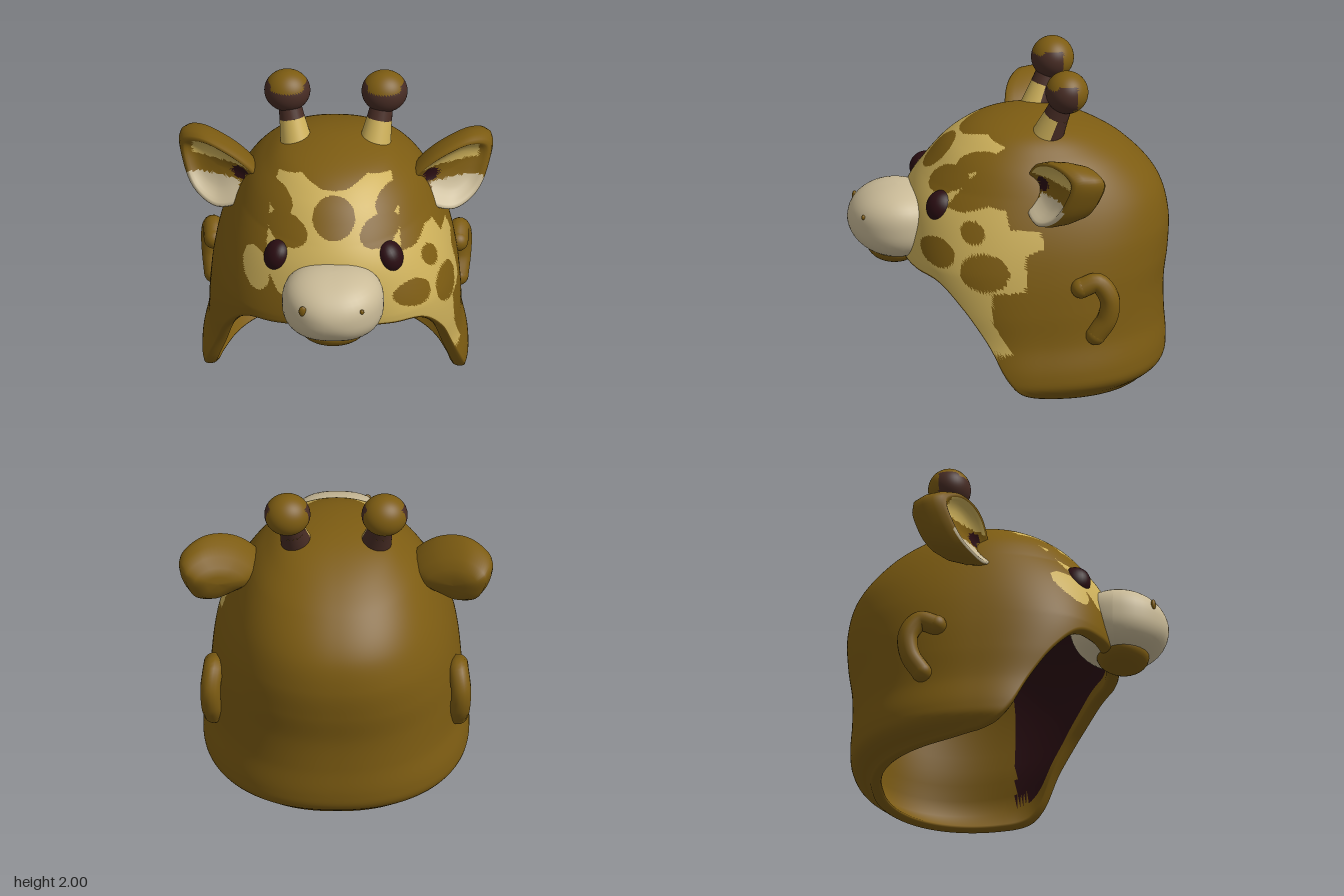
import * as THREE from 'three';

const mat = (name, color) => {
  const m = new THREE.MeshStandardMaterial({ color });
  m.name = name;
  return m;
};

// Smooth one-dimensional interpolation through a short table
function curve(xs, ys) {
  const slope = i => {
    const a = Math.max(0, i - 1), b = Math.min(xs.length - 1, i + 1);
    return (ys[b] - ys[a]) / (xs[b] - xs[a]);
  };
  return x => {
    let i = 0;
    while (i < xs.length - 2 && x > xs[i + 1]) i++;
    const h = xs[i + 1] - xs[i], t = Math.min(1, Math.max(0, (x - xs[i]) / h)), u = 1 - t;
    return ys[i] * (1 + 2 * t) * u * u + slope(i) * h * t * u * u
      + ys[i + 1] * t * t * (3 - 2 * t) - slope(i + 1) * h * t * t * u;
  };
}

// Skin closed loops of points; pick(centre, row) gives each triangle's material index
function loft(name, rows, mats, pick) {
  const n = rows[0].length, lists = mats.map(() => []), c = new THREE.Vector3(), pts = rows.flat();
  const tri = (r, ...ids) => {
    c.set(0, 0, 0);
    ids.forEach(i => c.addScaledVector(pts[i], 1 / 3));
    lists[pick(c, r)].push(...ids);
  };
  for (let r = 0; r < rows.length - 1; r++) {
    for (let k = 0; k < n; k++) {
      const a = r * n + k, b = r * n + (k + 1) % n;
      tri(r, a, a + n, b + n);
      tri(r, a, b + n, b);
    }
  }
  const g = new THREE.BufferGeometry().setFromPoints(pts);
  g.setIndex(lists.flat());
  let start = 0;
  lists.forEach((l, i) => { g.addGroup(start, l.length, i); start += l.length; });
  g.computeVertexNormals();
  const mesh = new THREE.Mesh(g, mats);
  mesh.name = name;
  return mesh;
}

const inPoly = (px, py, poly) => {
  let inside = false;
  poly.forEach(([x1, y1], i) => {
    const [x2, y2] = poly[(i + 1) % poly.length];
    if ((y1 > py) !== (y2 > py) && px < (x2 - x1) * (py - y1) / (y2 - y1) + x1) inside = !inside;
  });
  return inside;
};
const inSpot = (u, v, [cu, cv, ru, rv]) => ((u - cu) / ru) ** 2 + ((v - cv) / rv) ** 2 < 1;

// Coat pattern: pale areas and the brown spots on them
const FACE = [[-0.1, 1.54], [0.08, 1.55], [0.2, 1.585], [0.34, 1.55], [0.39, 1.44], [0.4, 1.3], [0.42, 1.15], [0.33, 1.0], [-0.1, 0.98]];
const CHEEK = [[0.75, 1.25], [0.35, 1.2], [0.2, 1.25], [0.1, 1.24], [0.08, 1.13], [-0.1, 1.12], [-0.12, 1.02], [-0.01, 0.98],
  [0, 0.76], [0.2, 0.74], [0.2, 0.56], [0.08, 0.36], [0.3, 0.34], [0.75, 0.8]];
const FACE_SPOTS = [[0, 1.43, 0.13, 0.1], [0.28, 1.345, 0.12, 0.08], [0.33, 1.46, 0.08, 0.06]];
const CHEEK_SPOTS = [[0.24, 0.87, 0.145, 0.115], [0.5, 0.955, 0.09, 0.085], [0.3, 1.1, 0.07, 0.065]];
function isPale({ x, y, z }) {
  const ax = Math.abs(x);
  if (z > 0 && inPoly(ax, y, FACE)) return !FACE_SPOTS.some(s => inSpot(ax, y, s));
  if (x > 0.1 && inPoly(z, y, CHEEK)) return !CHEEK_SPOTS.some(s => inSpot(z, y, s));
  return x < 0 && z > 0 && inSpot(x, y, [-0.47, 1.09, 0.08, 0.11]);
}

// Hollow head: half width, front depth and back depth by height; rim height by angle from the front
const TOP = 1.645, ZC = -0.12;
const depthKey = [1.645, 1.6, 1.5, 1.4, 1.2, 1.0, 0.8, 0.6, 0.4, 0.2, 0.1, 0].map(y => Math.sqrt(TOP - y));
const width = curve(depthKey, [0, 0.29, 0.435, 0.525, 0.63, 0.7, 0.74, 0.76, 0.77, 0.805, 0.785, 0.64]);
const front = curve(depthKey, [0, 0.3, 0.48, 0.58, 0.72, 0.77, 0.78, 0.74, 0.66, 0.6, 0.57, 0.5]);
const back = curve(depthKey, [0, 0.27, 0.49, 0.63, 0.8, 0.855, 0.85, 0.825, 0.825, 0.835, 0.81, 0.68]);
const rim = curve([0, 0.4, 0.735, 0.98, 1.135, 1.26, 1.43, 1.85, Math.PI], [0.82, 0.81, 0.78, 0.62, 0.42, 0.22, 0.11, 0.05, 0.025]);

function makeHead(brown, pale, dark) {
  const N = 240, OUT = 130, LIP = 6, INN = 24, rows = [];
  const point = (a, t, inner) => {
    const yr = rim(Math.abs(a)), y = yr + (TOP - yr) * (1 - t ** 1.6);
    const s = Math.sqrt(Math.max(0, TOP - y)), k = inner ? 0.9 : 1, ca = Math.cos(a), sa = Math.sin(a);
    // the section grows squarer towards the jaw
    const square = Math.min(1, Math.max(0, (1.3 - y) / 0.45)), e = 2 / (2 + (ca > 0 ? 0.6 * square : 0.25));
    const yy = inner ? yr + (y - yr) * (1.56 - yr) / (TOP - yr) : y;
    return new THREE.Vector3(k * width(s) * Math.sign(sa) * Math.abs(sa) ** e, yy,
      ZC + k * (ca > 0 ? front(s) : back(s)) * Math.sign(ca) * Math.abs(ca) ** e);
  };
  const ring = f => rows.push(Array.from({ length: N }, (_, i) => f((i / N) * 2 * Math.PI - Math.PI)));
  for (let i = 0; i <= OUT; i++) ring(a => point(a, i / OUT, false));
  for (let i = 1; i < LIP; i++) {
    ring(a => {
      const p = point(a, 1, false).lerp(point(a, 1, true), (1 - Math.cos(i / LIP * Math.PI)) / 2);
      p.y -= 0.025 * Math.sin(i / LIP * Math.PI);
      return p;
    });
  }
  for (let i = INN; i >= 0; i--) ring(a => point(a, i / INN, true));
  return loft('head', rows, [brown, pale, dark], (c, r) => {
    if (r < OUT) return isPale(c) ? 1 : 0;
    return r > OUT + LIP && c.z > -0.05 && c.y > 0.25 ? 2 : 0;
  });
}

// Cupped ear: the outline is scaled through back, rim and hollow
function makeEar(side, mats) {
  const outline = new THREE.CatmullRomCurve3([[0.44, 1.38], [0.6, 1.54], [0.82, 1.605], [0.945, 1.54], [0.93, 1.38],
    [0.86, 1.24], [0.73, 1.175], [0.58, 1.22], [0.46, 1.3]].map(p => new THREE.Vector3(p[0], p[1], 0)), true).getPoints(80).slice(0, -1);
  const steps = [[0, -0.26], [0.3, -0.255], [0.6, -0.23], [0.83, -0.165], [0.96, -0.075], [1, 0], [0.97, 0.045], [0.91, 0.055],
    [0.85, 0.045], [0.78, 0.025], [0.7, 0.005], [0.6, -0.015], [0.5, -0.027], [0.38, -0.037], [0.25, -0.043], [0.12, -0.047], [0, -0.048]];
  const rows = steps.map(([k, dz]) => {
    const loop = outline.map(p => {
      const x = 0.71 + (p.x - 0.71) * k, y = 1.4 + (p.y - 1.4) * k;
      return new THREE.Vector3(side * x, y, -0.14 - 0.4 * (x - 0.7) - 1.2 * (x - 0.7) ** 2 - 0.15 * (y - 1.4) + dz);
    });
    return side < 0 ? loop.reverse() : loop;
  });
  return loft(side > 0 ? 'leftEar' : 'rightEar', rows, mats, (c, r) => {
    const x = Math.abs(c.x);
    if (r < 6) return 0;
    if (inSpot(x, c.y, [0.58, 1.395, 0.045, 0.045])) return 3;
    if (x > 0.58 && x < 0.9 && c.y < 1.345) return 2;
    return r > 7 && x < 0.87 && c.y > 1.45 ? 1 : 0;
  });
}

export function createModel() {
  const model = new THREE.Group();
  model.name = 'giraffeMask';
  const brown = mat('brown', 0x7d5c12), pale = mat('paleYellow', 0xcdb05a), cream = mat('cream', 0xcabb98);
  const horn = mat('darkBrown', 0x472c24), dark = mat('maroon', 0x2a0d12);

  const add = (name, geo, material, parent = model) => {
    const m = new THREE.Mesh(geo, material);
    m.name = name;
    parent.add(m);
    return m;
  };
  const ellipsoid = (name, material, p, r) => {
    const m = add(name, new THREE.SphereGeometry(1, 28, 20), material);
    m.position.set(...p);
    m.scale.set(...r);
    return m;
  };

  model.add(makeHead(brown, pale, dark));

  // Muzzle: round from above, a rounded rectangle from the front
  const E = 2.6, R = [0.31, 0.215, 0.3], C = [0, 1.005, 0.68];
  const flat = (x, y) => (Math.abs(x) ** E + Math.abs(y) ** E) ** (2 / E);
  const muzzle = new THREE.SphereGeometry(1, 40, 28), pos = muzzle.attributes.position;
  for (let i = 0; i < pos.count; i++) {
    const v = [pos.getX(i), pos.getY(i), pos.getZ(i)];
    const k = 1 / Math.sqrt(flat(v[0], v[1]) + v[2] ** 2);
    pos.setXYZ(i, ...v.map((q, j) => C[j] + q * k * R[j]));
  }
  muzzle.computeVertexNormals();
  add('muzzle', muzzle, cream);
  ellipsoid('lowerLip', brown, [0, 0.83, 0.7], [0.2, 0.095, 0.16]);

  for (const s of [1, -1]) {
    // Nostril and eye
    const nz = C[2] + R[2] * Math.sqrt(1 - flat(0.18 / R[0], 0.075 / R[1]));
    ellipsoid('nostril', brown, [s * 0.18, 1.08, nz], s > 0 ? [0.014, 0.016, 0.012] : [0.024, 0.035, 0.015]);
    const eye = ellipsoid('eye', dark, [s * 0.338, 1.185, 0.45], [0.083, 0.103, 0.1]);
    eye.rotation.set(-0.15, 0, s * 0.35);

    model.add(makeEar(s, [brown, pale, cream, dark]));

    // Horn: stem pale at the lower front and dark elsewhere, with a two-tone ball
    const hornGroup = new THREE.Group();
    hornGroup.name = 'horn';
    model.add(hornGroup);
    const foot = new THREE.Vector3(s * 0.235, 1.55, -0.2), tip = new THREE.Vector3(s * 0.295, 1.87, -0.32);
    const stem = (name, m, t0, t1, r0, r1, from, sweep) => {
      const a = foot.clone().lerp(tip, t0), b = foot.clone().lerp(tip, t1);
      const part = add(name, new THREE.CylinderGeometry(r1, r0, a.distanceTo(b), 24, 1, true, from, sweep), m, hornGroup);
      part.position.copy(a).add(b).multiplyScalar(0.5);
      part.quaternion.setFromUnitVectors(new THREE.Vector3(0, 1, 0), b.sub(a).normalize());
    };
    stem('hornBaseFront', pale, 0, 0.5, 0.1, 0.077, -Math.PI / 2, Math.PI);
    stem('hornBaseBack', horn, 0, 0.5, 0.1, 0.077, Math.PI / 2, Math.PI);
    stem('hornStem', horn, 0.5, 1, 0.077, 0.06, 0, Math.PI * 2);
    const ballRows = Array.from({ length: 33 }, (_, i) => Array.from({ length: 48 }, (_, k) => {
      const v = i / 32 * Math.PI, a = k / 48 * 2 * Math.PI;
      return new THREE.Vector3(0.14 * Math.sin(v) * Math.sin(a), 0.13 * Math.cos(v), 0.13 * Math.sin(v) * Math.cos(a));
    }));
    const ball = loft('hornBall', ballRows, [brown, horn], c => (
      (c.y < 0.045 && c.z > -0.02) || (Math.abs(c.x) > 0.1 && c.y < 0.07 && c.z > -0.05) ? 1 : 0));
    ball.position.copy(tip);
    hornGroup.add(ball);

    // Side handle: a curled tube with rounded ends
    const path = [[0.74, 0.765, -0.34], [0.745, 0.795, -0.44], [0.76, 0.7, -0.51], [0.755, 0.57, -0.5], [0.74, 0.455, -0.43]]
      .map(p => new THREE.Vector3(s * p[0], p[1], p[2]));
    add('handle', new THREE.TubeGeometry(new THREE.CatmullRomCurve3(path), 32, 0.062, 14), brown);
    for (const p of [path[0], path[4]]) ellipsoid('handleEnd', brown, p.toArray(), [0.062, 0.062, 0.062]);
  }
  return model;
}
